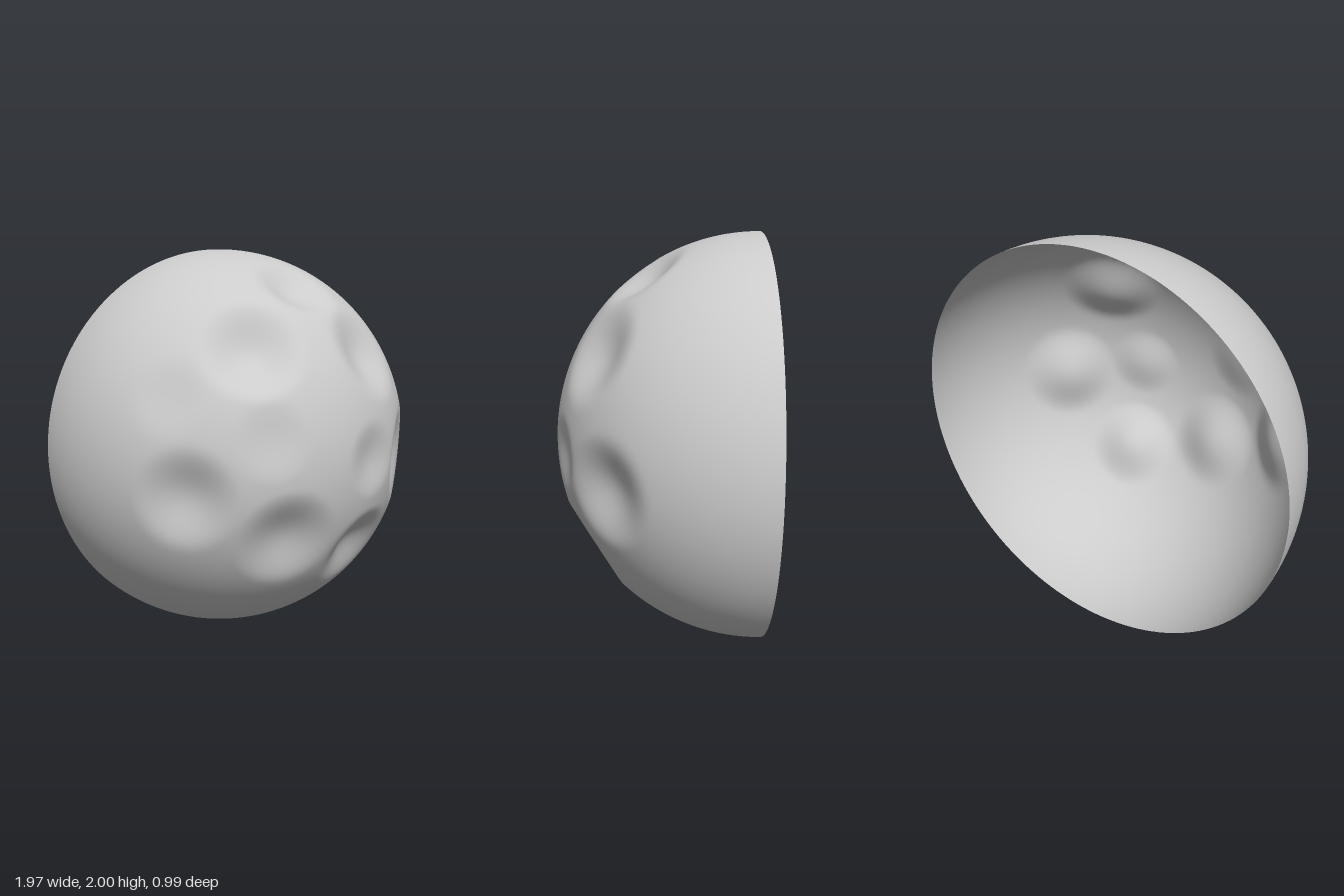
import * as THREE from 'three';
import { mergeVertices } from 'three/addons/utils/BufferGeometryUtils.js';

// Dents on the unit dome: x, y of the centre, radius, depth
const DENTS = [
  [0.10, 0.82, 0.24, 0.07],
  [-0.30, 0.55, 0.27, 0.09],
  [0.38, 0.50, 0.27, 0.07],
  [-0.65, -0.11, 0.26, 0.07],
  [-0.20, -0.34, 0.27, 0.07],
  [0.29, -0.48, 0.25, 0.08],
  [0.67, -0.06, 0.27, 0.08],
  [0.29, 0.00, 0.20, 0.035],
  [-0.30, 0.15, 0.20, 0.02],
  [-0.67, 0.34, 0.20, 0.015],
];

export function createModel() {
  const group = new THREE.Group();

  // Open half sphere with its pole to the front
  let geo = new THREE.SphereGeometry(1, 144, 72, 0, Math.PI * 2, 0, Math.PI / 2);
  geo.rotateX(Math.PI / 2);
  geo.deleteAttribute('uv');
  geo.deleteAttribute('normal');
  geo = mergeVertices(geo, 1e-4);

  // Press smooth bowl-shaped craters into the shell
  const centres = DENTS.map(([x, y]) => new THREE.Vector3(x, y, Math.sqrt(1 - x * x - y * y)));
  const pos = geo.attributes.position;
  const p = new THREE.Vector3();
  for (let i = 0; i < pos.count; i++) {
    p.fromBufferAttribute(pos, i);
    let push = 0;
    DENTS.forEach(([, , radius, depth], k) => {
      const t = p.distanceTo(centres[k]) / radius;
      if (t < 1) push += depth * (1 - t * t) ** 2;
    });
    p.multiplyScalar(1 - push);
    pos.setXYZ(i, p.x, p.y, p.z);
  }
  geo.scale(0.987, 1, 0.987);
  geo.translate(0, 1, -0.488);
  geo.computeVertexNormals();

  const dome = new THREE.Mesh(
    geo,
    new THREE.MeshStandardMaterial({ color: 0xcccccc, side: THREE.DoubleSide })
  );
  dome.name = 'crateredDome';
  group.add(dome);
  return group;
}
